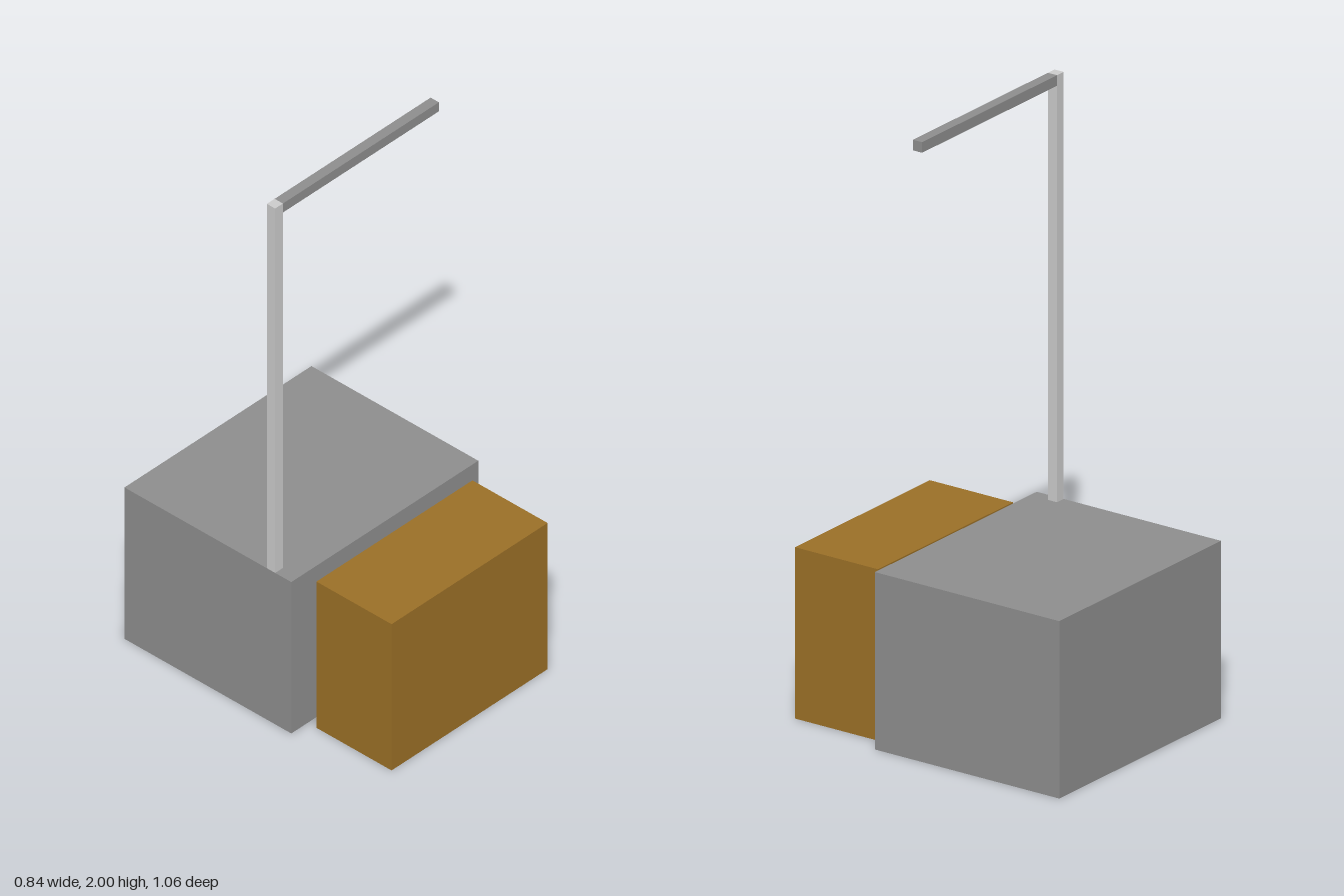
import * as THREE from 'three';

const lightGrey = new THREE.MeshStandardMaterial({ color: 0xcccccc });
const darkGrey = new THREE.MeshStandardMaterial({ color: 0x8e8e8e });
const brown = new THREE.MeshStandardMaterial({ color: 0x9b7027 });

// Box given by its extents along each axis
function block(name, material, [x0, x1], [y0, y1], [z0, z1]) {
  const mesh = new THREE.Mesh(new THREE.BoxGeometry(x1 - x0, y1 - y0, z1 - z0), material);
  mesh.position.set((x0 + x1) / 2, (y0 + y1) / 2, (z0 + z1) / 2);
  mesh.name = name;
  return mesh;
}

export function createModel() {
  const model = new THREE.Group();
  model.name = 'cabinetWithOverheadArm';
  const armDepth = [0.072, 0.107];

  model.add(
    // Main body and the separate box in front of it
    block('body', darkGrey, [-0.422, 0.422], [0, 0.587], [-0.529, 0.175]),
    block('frontBox', brown, [-0.348, 0.356], [0, 0.567], [0.212, 0.529]),
    // Upright on the body's right edge, carrying a horizontal arm
    block('post', lightGrey, [-0.422, -0.387], [0.587, 2], armDepth),
    block('arm', darkGrey, [-0.387, 0.317], [1.965, 2], armDepth),
  );
  return model;
}
